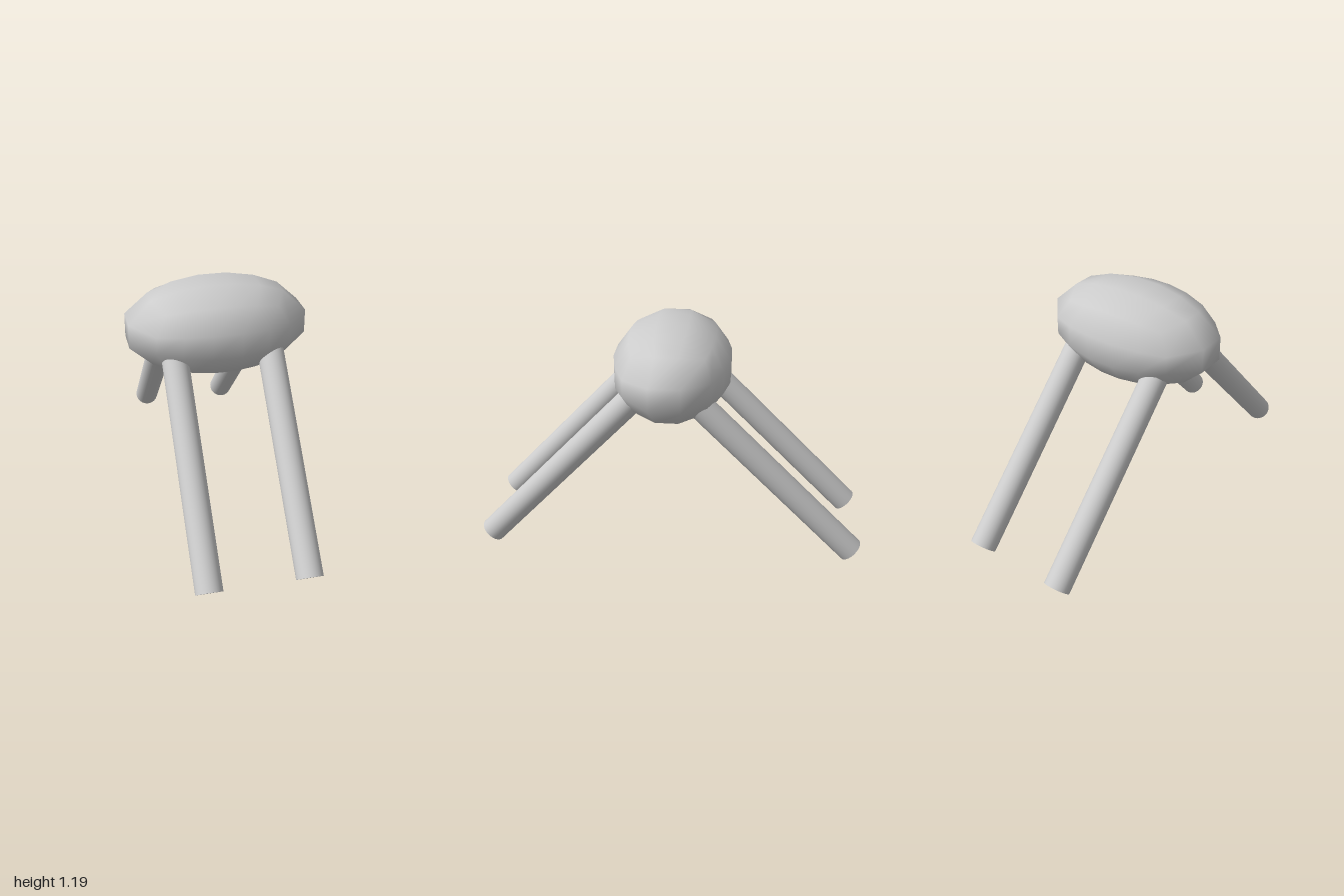
import * as THREE from 'three';
import { mergeVertices } from 'three/addons/utils/BufferGeometryUtils.js';

const material = new THREE.MeshStandardMaterial({ color: 0xcccccc });

// Ellipsoid made from a coarse box grid, spread by equal angles and scaled to its radii
function ellipsoidGeometry(rx, ry, rz) {
  let geometry = new THREE.BoxGeometry(2, 2, 2, 5, 3, 3);
  geometry.deleteAttribute('normal');
  geometry.deleteAttribute('uv');
  geometry = mergeVertices(geometry);
  const position = geometry.attributes.position;
  const radii = new THREE.Vector3(rx, ry, rz);
  const v = new THREE.Vector3();
  const spread = (t) => Math.tan((t * Math.PI) / 4);
  for (let i = 0; i < position.count; i++) {
    v.fromBufferAttribute(position, i);
    v.set(spread(v.x), spread(v.y), spread(v.z)).normalize().multiply(radii);
    position.setXYZ(i, v.x, v.y, v.z);
  }
  geometry.computeVertexNormals();
  return geometry;
}

export function createModel() {
  const group = new THREE.Group();

  // Body
  const body = new THREE.Mesh(ellipsoidGeometry(0.481, 0.246, 0.307), material);
  body.name = 'body';
  body.position.y = 0.96;
  group.add(body);

  // Legs: straight rods leaning into the body, origin at the foot
  const length = 1.15;
  const legGeometry = new THREE.CylinderGeometry(0.066, 0.066, length, 32);
  legGeometry.translate(0, length / 2, 0);
  const legs = [
    ['frontLeftLeg', 0.243, 0.046, 0.952, -0.754],
    ['frontRightLeg', -0.241, 0.046, 0.952, -0.754],
    ['backLeftLeg', 0.248, 0.055, -0.951, Math.PI / 4],
    ['backRightLeg', -0.238, 0.055, -0.951, Math.PI / 4],
  ];
  for (const [name, x, y, z, lean] of legs) {
    const leg = new THREE.Mesh(legGeometry, material);
    leg.name = name;
    leg.position.set(x, y, z);
    leg.rotation.x = lean;
    group.add(leg);
  }
  return group;
}
